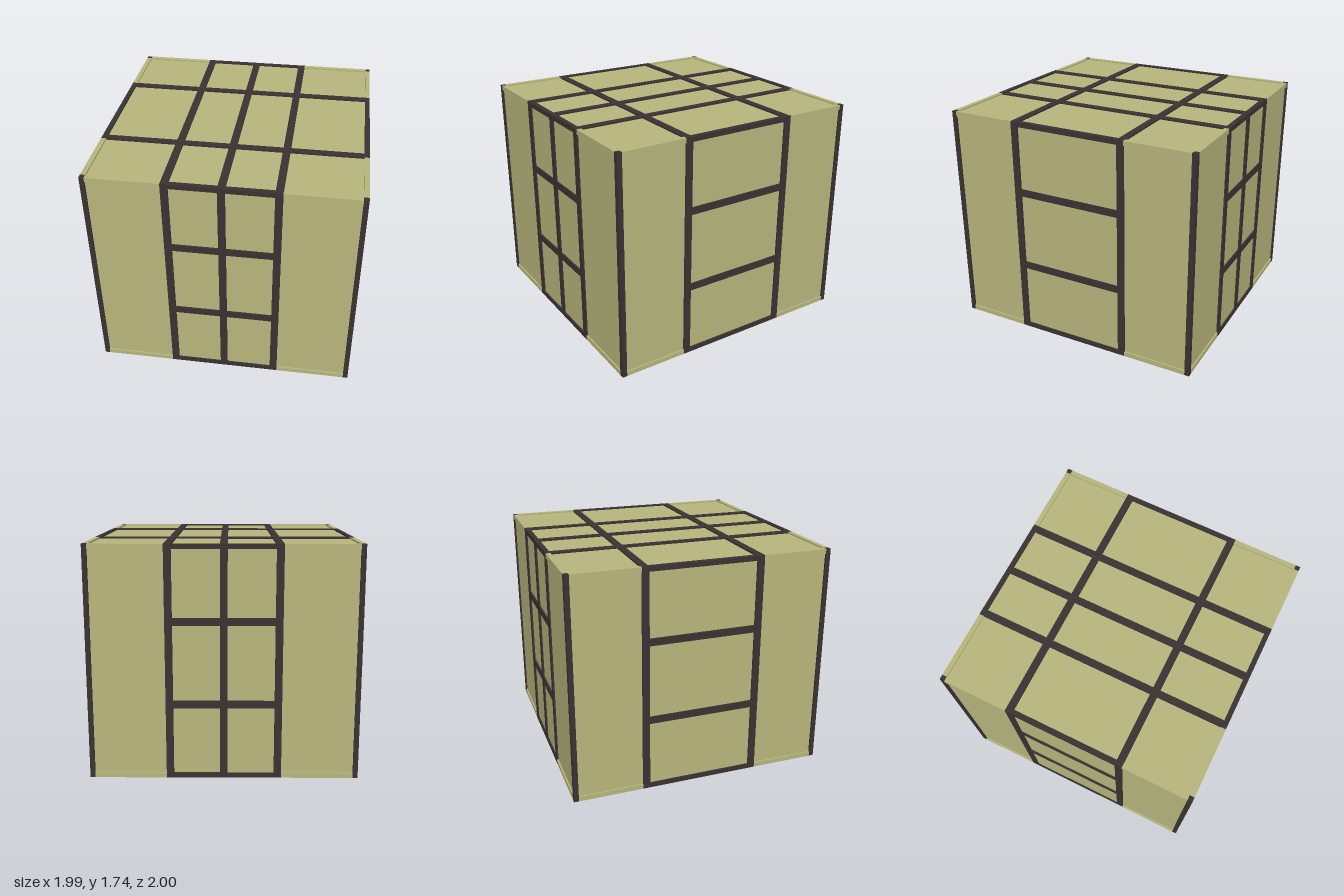
import * as THREE from 'three';

export function createModel() {
  const model = new THREE.Group();
  const khaki = new THREE.MeshStandardMaterial({ color: 0xb8b67c });
  khaki.name = 'khaki';
  const dark = new THREE.MeshStandardMaterial({ color: 0x3a3233 });
  dark.name = 'darkBrown';

  const HX = 0.995, HZ = 1, H = 1.737; // half width, half depth, height
  const E = 0.037;                     // edge beam thickness
  const R = 0.012;                     // panel recess
  const BX = 0.425, BZ = 0.463;        // outer sides of the strap bands
  const W = 0.055;                     // strap width

  // Box given by its minimum and maximum corners
  function box(name, mat, x0, x1, y0, y1, z0, z1) {
    const mesh = new THREE.Mesh(new THREE.BoxGeometry(x1 - x0, y1 - y0, z1 - z0), mat);
    mesh.position.set((x0 + x1) / 2, (y0 + y1) / 2, (z0 + z1) / 2);
    mesh.name = name;
    model.add(mesh);
  }

  // Recessed panels, one solid core
  box('panelCore', khaki, -HX + R, HX - R, R, H - R, -HZ + R, HZ - R);

  // Range [lo, hi] of thickness t at the low or high end of [a, b]
  const end = (a, b, t, s) => (s < 0 ? [a, a + t] : [b - t, b]);

  for (const s of [-1, 1]) {
    const xEdge = end(-HX, HX, E, s), zEdge = end(-HZ, HZ, E, s);
    const yEdge = end(0, H, E, s);

    // Dark corner posts
    for (const t of [-1, 1]) box('cornerPost', dark, ...xEdge, 0, H, ...end(-HZ, HZ, E, t));

    // Vertical straps on front/back and on the sides
    for (const x of [-BX + W / 2, 0, BX - W / 2]) {
      box('verticalStrap', dark, x - W / 2, x + W / 2, E, H - E, ...zEdge);
      // Straps running front to back on top and bottom
      box('lengthStrap', dark, x - W / 2, x + W / 2, ...yEdge, -HZ + E, HZ - E);
    }
    for (const z of [-BZ + W / 2, BZ - W / 2]) {
      box('sideVerticalStrap', dark, ...xEdge, E, H - E, z - W / 2, z + W / 2);
      // Straps running side to side on top and bottom
      box('crossStrap', dark, -HX + E, HX - E, ...yEdge, z - W / 2, z + W / 2);
    }

    // Horizontal straps between the outer vertical ones
    for (const y of [0.568, 1.182]) {
      box('horizontalStrap', dark, -BX, BX, y - W / 2, y + W / 2, ...zEdge);
      box('sideHorizontalStrap', dark, ...xEdge, y - W / 2, y + W / 2, -BZ, BZ);
    }

    // Top and bottom edge beams: dark in the middle, khaki toward the corners
    for (const t of [-1, 1]) {
      const y = end(0, H, E, t);
      box('edgeBeamMiddle', dark, -BX, BX, ...y, ...zEdge);
      box('sideEdgeBeamMiddle', dark, ...xEdge, ...y, -BZ, BZ);
      box('edgeBeamLeft', khaki, BX, HX - E, ...y, ...zEdge);
      box('edgeBeamRight', khaki, -HX + E, -BX, ...y, ...zEdge);
      box('sideEdgeBeamFront', khaki, ...xEdge, ...y, BZ, HZ - E);
      box('sideEdgeBeamBack', khaki, ...xEdge, ...y, -HZ + E, -BZ);
    }
  }
  return model;
}
